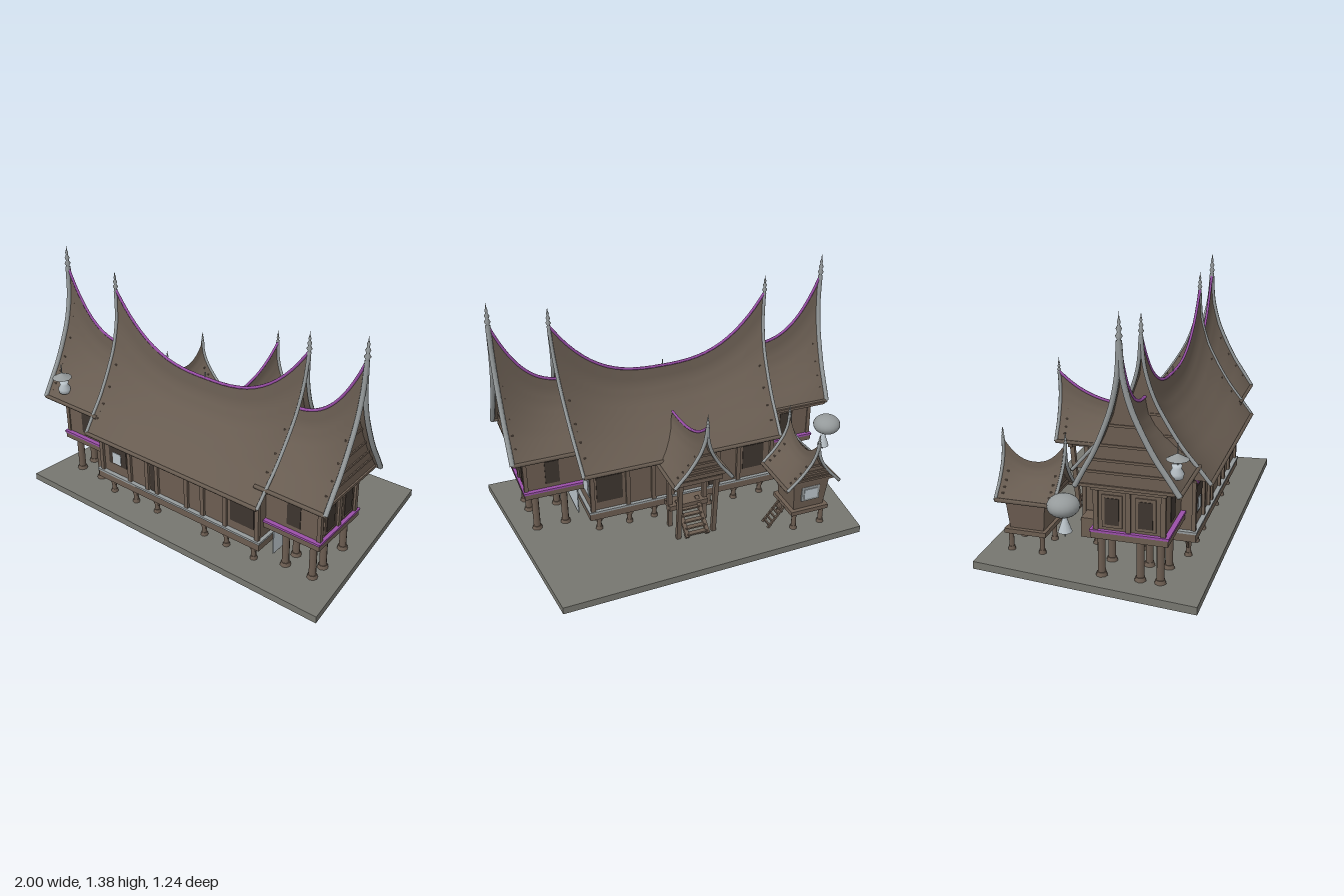
import * as THREE from 'three';

const mat = (name, color) => {
  const m = new THREE.MeshStandardMaterial({ color, side: THREE.DoubleSide });
  m.name = name;
  return m;
};

export function createModel() {
  const M = {
    roof: mat('thatchBrown', 0x675b50),
    wood: mat('wood', 0x6c5d51),
    dark: mat('darkOpening', 0x3d352f),
    trim: mat('greyTrim', 0x959a9b),
    pale: mat('paleGrey', 0xb9c2c8),
    purple: mat('purpleTrim', 0x9a4fa8),
    base: mat('groundGrey', 0x76766f),
  };
  const model = new THREE.Group();
  model.name = 'saddleRoofHouse';

  const add = (geo, material, name, parent = model) => {
    const mesh = new THREE.Mesh(geo, material);
    mesh.name = name;
    parent.add(mesh);
    return mesh;
  };
  // box given by its limits
  const box = (x0, x1, y0, y1, z0, z1, m, name, parent) => {
    const b = add(new THREE.BoxGeometry(x1 - x0, y1 - y0, z1 - z0), m, name, parent);
    b.position.set((x0 + x1) / 2, (y0 + y1) / 2, (z0 + z1) / 2);
    return b;
  };
  // square beam between two points
  const beam = (a, b, w, m, name, parent) => {
    const p = new THREE.Vector3(...a), q = new THREE.Vector3(...b);
    const mesh = add(new THREE.BoxGeometry(w, p.distanceTo(q), w), m, name, parent);
    mesh.position.copy(p).lerp(q, 0.5);
    mesh.quaternion.setFromUnitVectors(new THREE.Vector3(0, 1, 0), q.sub(p).normalize());
    return mesh;
  };
  // post with a wider foot
  const post = (x, z, top, r = 0.017) => {
    add(new THREE.CylinderGeometry(r, r, top - 0.04, 8), M.wood, 'post').position.set(x, (top + 0.04) / 2, z);
    add(new THREE.CylinderGeometry(r * 1.2, r * 1.5, 0.02, 8), M.wood, 'postFoot').position.set(x, 0.05, z);
  };
  // surface from a rule on a grid
  const grid = (nu, nv, fn) => {
    const pos = [], idx = [];
    for (let i = 0; i <= nu; i++) for (let j = 0; j <= nv; j++) pos.push(...fn(i / nu, j / nv).toArray());
    for (let i = 0; i < nu; i++) for (let j = 0; j < nv; j++) {
      const a = i * (nv + 1) + j, b = a + nv + 1;
      idx.push(a, a + 1, b, b, a + 1, b + 1);
    }
    const g = new THREE.BufferGeometry();
    g.setAttribute('position', new THREE.Float32BufferAttribute(pos, 3));
    g.setIndex(idx);
    g.computeVertexNormals();
    return g;
  };
  const tube = (pts, r, m, name, parent) =>
    add(new THREE.TubeGeometry(new THREE.CatmullRomCurve3(pts), 28, r, 6), m, name, parent);

  // concave slope: [share of half width, share of height]
  const slope = [[0, 1], [0.05, 0.77], [0.18, 0.57], [0.37, 0.4], [0.59, 0.24], [0.78, 0.13], [1, 0]];
  const slopeAt = (t) => {
    const k = Math.min(5, Math.floor(t * 6)), f = t * 6 - k;
    return slope[k].map((v, i) => v + (slope[k + 1][i] - v) * f);
  };

  const spire = (p, h, parent) => {
    const prof = [[0.012, 0], [0.008, 0.12], [0.016, 0.22], [0.007, 0.34], [0.013, 0.45], [0.005, 0.57],
      [0.008, 0.66], [0.003, 0.78], [0, 1]].map(([r, y]) => new THREE.Vector2(r * h / 0.13, y * h));
    add(new THREE.LatheGeometry(prof, 10), M.trim, 'spire', parent).position.copy(p);
  };

  // saddle roof, ridge along local x; "ends" lists which ends carry a gable
  const roof = (name, o) => {
    const g = new THREE.Group();
    g.name = name;
    model.add(g);
    const [r0, r1] = o.ridgeX, [e0, e1] = o.eaveX;
    const pt = (u, t, s) => {
      const [w, h] = slopeAt(t);
      const rx = r0 + (r1 - r0) * u, ex = e0 + (e1 - e0) * u;
      return new THREE.Vector3(ex + (rx - ex) * h, o.eaveY + (o.ridgeY(rx) - o.eaveY) * h,
        s * w * (s > 0 ? o.front : o.back));
    };
    add(grid(28, 18, (u, t) => pt(u, t, 1)), M.roof, 'roofSlope', g);
    add(grid(28, 18, (u, t) => pt(1 - u, t, -1)), M.roof, 'roofSlope', g);
    for (const s of [1, -1]) {
      tube([0, 0.5, 1].map((u) => pt(u, 1, s)), 0.011, M.roof, 'eaveEdge', g);
    }
    const steps = Array.from({ length: 17 }, (_, i) => i / 16);
    if (o.ridge) tube(steps.map((u) => pt(u, 0, 1)), 0.008, M.purple, 'ridgeStrip', g);
    for (const e of o.ends) {
      const u = e ? 1 - o.inset : o.inset;
      add(grid(18, 1, (t, v) => pt(u, t, 1).lerp(pt(u, t, -1), v)), M.wood, 'gableWall', g);
      // overlapping gable boards
      for (const t of [0.42, 0.58, 0.72, 0.86]) {
        beam(pt(u, t, 1).toArray(), pt(u, t, -1).toArray(), 0.012, M.wood, 'gableBoard', g);
      }
      for (const s of [1, -1]) {
        tube(slope.map((_, i) => pt(e, i / 6, s)), o.barge, M.trim, 'bargeBoard', g);
      }
      spire(pt(e, 0, 1).add(new THREE.Vector3(0, -0.01, 0)), o.spire, g);
    }
    return g;
  };

  // ground slab
  const ground = new THREE.Shape([[-1, -0.6], [1, -0.615], [0.87, 0.62], [-0.88, 0.58]].map((p) => new THREE.Vector2(...p)));
  add(new THREE.ExtrudeGeometry(ground, { depth: 0.04, bevelEnabled: false }), M.base, 'ground').rotation.x = -Math.PI / 2;

  // main hall
  box(-0.565, 0.565, 0.145, 0.19, -0.11, 0.49, M.wood, 'hallFloor');
  box(-0.57, 0.57, 0.188, 0.2, -0.115, 0.495, M.trim, 'hallSill');
  box(-0.545, 0.55, 0.2, 0.5, -0.095, 0.47, M.wood, 'hallWalls');
  box(-0.66, -0.56, 0.145, 0.25, -0.08, 0.06, M.wood, 'sideLanding');
  box(-0.5, 0.53, 0.435, 0.455, 0.465, 0.485, M.purple, 'hallFrieze');
  for (const x of [-0.54, -0.33, -0.2, -0.13, 0.08, 0.19, 0.34, 0.545]) {
    box(x - 0.012, x + 0.012, 0.2, 0.46, 0.465, 0.485, M.wood, 'wallStud');
    box(x - 0.012, x + 0.012, 0.2, 0.46, -0.11, -0.09, M.wood, 'wallStud');
  }
  for (const [x0, x1, y0, y1] of [[-0.49, -0.36, 0.26, 0.41], [-0.18, -0.15, 0.2, 0.42], [0.37, 0.52, 0.25, 0.41]]) {
    box(x0, x1, y0, y1, 0.469, 0.474, M.dark, 'frontWindow');
    box(x0, x1, y0, y1, -0.099, -0.094, M.dark, 'backWindow');
  }
  box(-0.46, -0.4, 0.27, 0.34, 0.473, 0.477, M.pale, 'frontPane');
  box(0.549, 0.556, 0.275, 0.4, -0.075, 0.035, M.trim, 'sideWindowFrame');
  box(0.554, 0.56, 0.285, 0.39, -0.065, 0.025, M.pale, 'sideWindowPane');
  box(0.57, 0.576, 0.06, 0.255, 0.11, 0.37, M.pale, 'underPanel');
  for (const z of [0.44, 0.2, -0.05]) for (const x of [-0.5, -0.33, -0.17, 0.17, 0.32, 0.5]) {
    post(x, z, 0.15, 0.014);
    for (const s of [-1, 1]) beam([x, 0.08, z], [x + s * 0.05, 0.148, z], 0.012, M.wood, 'brace');
  }
  const hall = roof('hallRoof', {
    ridgeX: [-0.628, 0.628], eaveX: [-0.585, 0.585], eaveY: 0.465, front: 0.345, back: 0.375,
    ridgeY: (x) => 0.855 + 0.345 * Math.abs(x / 0.628) ** 2.8,
    ends: [0, 1], inset: 0.03, barge: 0.01, spire: 0.12, ridge: true,
  });
  hall.position.set(0.016, 0, 0.218);
  add(new THREE.CylinderGeometry(0.003, 0.005, 0.04, 6), M.trim, 'ridgePin').position.set(0.01, 0.87, 0.218);

  // raised wings on both ends
  for (const s of [-1, 1]) {
    const span = (a, b) => (s > 0 ? [a, b] : [-b, -a]);
    const wbox = (a, b, ...rest) => box(...span(a, b), ...rest);
    wbox(0.55, 0.885, 0.26, 0.295, 0.05, 0.43, M.wood, 'wingFloor');
    wbox(0.55, 0.89, 0.293, 0.305, 0.045, 0.435, M.purple, 'wingSill');
    wbox(0.55, 0.87, 0.3, 0.56, 0.07, 0.41, M.wood, 'wingWalls');
    wbox(0.55, 0.895, 0.51, 0.525, 0.055, 0.425, M.wood, 'wingTopBeam');
    wbox(0.55, 0.9, 0.525, 0.535, 0.1, 0.42, M.purple, 'wingFrieze');
    wbox(0.55, 0.925, 0.535, 0.55, -0.02, 0.47, M.wood, 'wingSoffit');
    for (const z of [0.075, 0.235, 0.405]) wbox(0.86, 0.882, 0.3, 0.515, z - 0.012, z + 0.012, M.wood, 'wingStud');
    for (const z of [0.155, 0.32]) {
      wbox(0.869, 0.877, 0.32, 0.485, z - 0.05, z + 0.05, M.wood, 'wingShutter');
      wbox(0.875, 0.88, 0.335, 0.47, z - 0.035, z + 0.035, M.dark, 'wingEndWindow');
    }
    wbox(0.68, 0.76, 0.33, 0.47, 0.409, 0.414, M.dark, 'wingFrontWindow');
    wbox(0.68, 0.76, 0.33, 0.47, 0.066, 0.071, M.dark, 'wingBackWindow');
    for (const x of [0.66, 0.825]) for (const z of [0.085, 0.28, 0.38]) post(s * x, z, 0.265, 0.02);
    const wing = roof('wingRoof', {
      ridgeX: span(0.54, s > 0 ? 0.955 : 0.972), eaveX: span(0.54, 0.948), eaveY: 0.545,
      front: 0.275, back: s > 0 ? 0.25 : 0.225,
      ridgeY: (x) => 0.88 + 0.37 * Math.max(0, (Math.abs(x) - 0.54) / (s > 0 ? 0.415 : 0.432)) ** 2.8,
      ends: [s > 0 ? 1 : 0], inset: 0.08, barge: 0.014, spire: 0.14, ridge: true,
    });
    wing.position.z = 0.224;
  }

  // rear porch
  const porch = roof('porchRoof', {
    ridgeX: [-0.05, 0.445], eaveX: [-0.05, 0.41], eaveY: 0.45, front: 0.165, back: 0.165,
    ridgeY: (x) => 0.645 + 0.165 * Math.max(0, (x + 0.05) / 0.495) ** 2.8,
    ends: [1], inset: 0.1, barge: 0.01, spire: 0.09, ridge: true,
  });
  porch.position.x = 0.016;
  porch.rotation.y = Math.PI / 2;
  box(-0.1, 0.13, 0.155, 0.185, -0.2, -0.1, M.wood, 'porchFloor');
  for (const x of [-0.09, 0.12]) {
    beam([x, 0.04, -0.17], [x, 0.45, -0.16], 0.025, M.wood, 'porchPost');
    beam([x, 0.04, -0.3], [x, 0.45, -0.335], 0.025, M.wood, 'porchPost');
    beam([x, 0.425, -0.1], [x, 0.425, -0.345], 0.022, M.wood, 'porchBeam');
    beam([x, 0.35, -0.18], [x, 0.42, -0.23], 0.014, M.wood, 'porchBrace');
  }
  box(-0.12, 0.15, 0.41, 0.435, -0.35, -0.325, M.wood, 'porchLintel');
  for (const x of [-0.045, 0.075]) beam([x, 0.19, -0.16], [x, 0.05, -0.33], 0.022, M.wood, 'stairSide');
  for (let i = 0; i < 6; i++) {
    const y = 0.06 + i * 0.023, z = -0.318 + i * 0.028;
    box(-0.045, 0.075, y, y + 0.009, z - 0.014, z + 0.014, M.wood, 'stairTread');
  }

  // small rice store behind the house
  const hut = roof('storeRoof', {
    ridgeX: [-0.17, 0.17], eaveX: [-0.155, 0.155], eaveY: 0.335, front: 0.165, back: 0.155,
    ridgeY: (x) => 0.5 + 0.115 * Math.abs(x / 0.17) ** 2.3,
    ends: [0, 1], inset: 0.1, barge: 0.009, spire: 0.075, ridge: false,
  });
  hut.position.set(-0.605, 0, -0.345);
  hut.rotation.y = Math.PI / 2;
  const storeGeo = new THREE.BoxGeometry(0.2, 0.2, 0.2);
  const sp = storeGeo.attributes.position;
  for (let i = 0; i < sp.count; i++) {
    const k = sp.getY(i) > 0 ? 1.1 : 0.9;
    sp.setX(i, sp.getX(i) * k);
    sp.setZ(i, sp.getZ(i) * k);
  }
  storeGeo.computeVertexNormals();
  add(storeGeo, M.wood, 'storeWalls').position.set(-0.605, 0.25, -0.36);
  box(-0.72, -0.49, 0.14, 0.165, -0.475, -0.25, M.wood, 'storeFloor');
  box(-0.66, -0.55, 0.22, 0.31, -0.468, -0.459, M.trim, 'storeWindowFrame');
  box(-0.645, -0.565, 0.235, 0.295, -0.472, -0.466, M.pale, 'storeWindowPane');
  for (const x of [-0.69, -0.52]) for (const z of [-0.45, -0.28]) post(x, z, 0.15, 0.014);
  for (const z of [-0.4, -0.335]) beam([-0.385, 0.04, z], [-0.48, 0.16, z], 0.011, M.wood, 'ladderSide');
  for (let i = 0; i < 5; i++) {
    const x = -0.395 - i * 0.017, y = 0.055 + i * 0.021;
    beam([x, y, -0.4], [x, y, -0.335], 0.009, M.wood, 'ladderRung');
  }

  // rounded canopy beside the left-hand wing
  const canopy = add(new THREE.SphereGeometry(0.08, 20, 14), M.trim, 'canopy');
  canopy.position.set(-0.92, 0.425, -0.07);
  canopy.scale.y = 0.7;
  add(new THREE.ConeGeometry(0.035, 0.1, 12), M.pale, 'canopyCone').position.set(-0.905, 0.335, -0.07);
  beam([-0.905, 0.26, -0.07], [-0.91, 0.4, -0.07], 0.006, M.trim, 'canopyStem');

  // parasol and pale urn resting on the wing roof
  add(new THREE.ConeGeometry(0.055, 0.03, 12), M.trim, 'parasol').position.set(-0.84, 0.7, 0.46);
  add(new THREE.CylinderGeometry(0.003, 0.004, 0.15, 6), M.trim, 'parasolStem').position.set(-0.84, 0.69, 0.46);
  const urn = [[0, 0], [0.03, 0.005], [0.036, 0.03], [0.022, 0.055], [0.026, 0.07], [0, 0.075]].map((p) => new THREE.Vector2(...p));
  add(new THREE.LatheGeometry(urn, 12), M.pale, 'urn').position.set(-0.835, 0.585, 0.455);

  return model;
}
